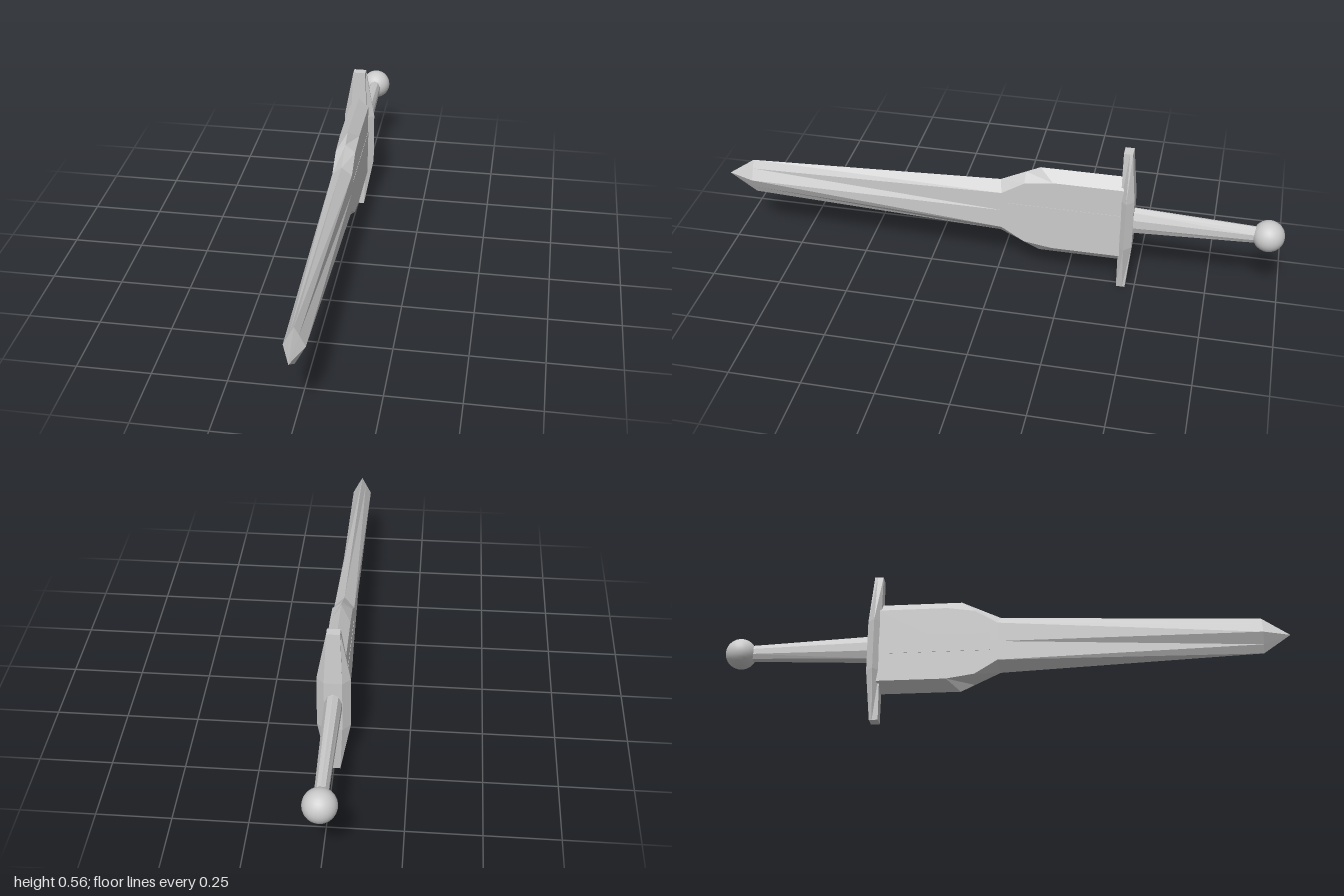
import * as THREE from 'three';

const MID = 0.278; // height of the sword's long axis
const material = new THREE.MeshStandardMaterial({ color: 0xcccccc, flatShading: true });
const smooth = new THREE.MeshStandardMaterial({ color: 0xcccccc });

// Skins a list of closed rings and caps both ends. Rings run
// counter-clockwise when looking back along the direction of the loft.
function loft(rings) {
  const n = rings[0].length;
  const index = [];
  for (let r = 0; r < rings.length - 1; r++) {
    for (let i = 0; i < n; i++) {
      const a = r * n + i, b = r * n + (i + 1) % n;
      index.push(a, b, b + n, a, b + n, a + n);
    }
  }
  const last = (rings.length - 1) * n;
  for (let i = 1; i < n - 1; i++) {
    index.push(0, i + 1, i, last, last + i, last + i + 1);
  }
  const geometry = new THREE.BufferGeometry();
  geometry.setAttribute('position', new THREE.Float32BufferAttribute(rings.flat(2), 3));
  geometry.setIndex(index);
  const flat = geometry.toNonIndexed();
  flat.computeVertexNormals();
  return flat;
}

function add(group, name, geometry, mat = material) {
  const mesh = new THREE.Mesh(geometry, mat);
  mesh.name = name;
  group.add(mesh);
  return mesh;
}

// Eight-point blade section: cutting edges, bevel creases and side centres
function bladeRing(edgeZ, edgeY, creaseZ, creaseX, creaseY, side) {
  return [
    [side, 0, creaseZ], [creaseX, creaseY, creaseZ],
    [0, edgeY, edgeZ], [-creaseX, creaseY, creaseZ],
    [-side, 0, creaseZ], [-creaseX, -creaseY, creaseZ],
    [0, -edgeY, edgeZ], [creaseX, -creaseY, creaseZ],
  ];
}

// Six-sided guard section at height y
function guardRing(y, wide, narrow, back) {
  const front = -0.436, middle = -0.457;
  return [
    [narrow, y, front], [wide, y, middle], [narrow, y, back],
    [-narrow, y, back], [-wide, y, middle], [-narrow, y, front],
  ];
}

export function createModel() {
  const sword = new THREE.Group();
  sword.name = 'sword';

  // Blade with a broad base, narrowing to a diamond and a short point
  const blade = loft([
    bladeRing(-0.45, 0.174, -0.45, 0.035, 0.137, 0.035),
    bladeRing(-0.15, 0.174, -0.2, 0.035, 0.137, 0.035),
    bladeRing(-0.1, 0.15, -0.1, 0.035, 0.122, 0.035),
    bladeRing(-0.01, 0.107, -0.02, 0.035, 0.072, 0.035),
    bladeRing(0.905, 0.067, 0.905, 0.015, 0.039, 0.035),
    bladeRing(1, 0.0005, 1, 0.0001, 0.0003, 0.0003),
  ]);
  add(sword, 'blade', blade).position.y = MID;

  // Slim raised strip along the sides of the blade's base
  const strip = new THREE.BoxGeometry(0.072, 0.066, 0.4);
  add(sword, 'bladeStrip', strip).position.set(0, MID, -0.245);

  // Crossguard, thickest around the grip
  const guard = loft([
    guardRing(0, 0.022, 0.022, -0.467),
    guardRing(0.183, 0.056, 0.03, -0.483),
    guardRing(0.373, 0.056, 0.03, -0.483),
    guardRing(0.556, 0.022, 0.022, -0.467),
  ]);
  add(sword, 'crossguard', guard);

  // Tapered oval grip
  const grip = new THREE.CylinderGeometry(0.052, 0.031, 0.44, 10);
  grip.rotateX(Math.PI / 2);
  const p = grip.attributes.position;
  for (let i = 0; i < p.count; i++) {
    p.setX(i, p.getX(i) * (p.getZ(i) > 0 ? 0.58 : 0.72));
  }
  grip.computeVertexNormals();
  add(sword, 'grip', grip).position.set(0, MID, -0.69);

  // Round pommel
  const pommel = new THREE.SphereGeometry(0.055, 24, 16);
  add(sword, 'pommel', pommel, smooth).position.set(0, MID, -0.945);

  return sword;
}
